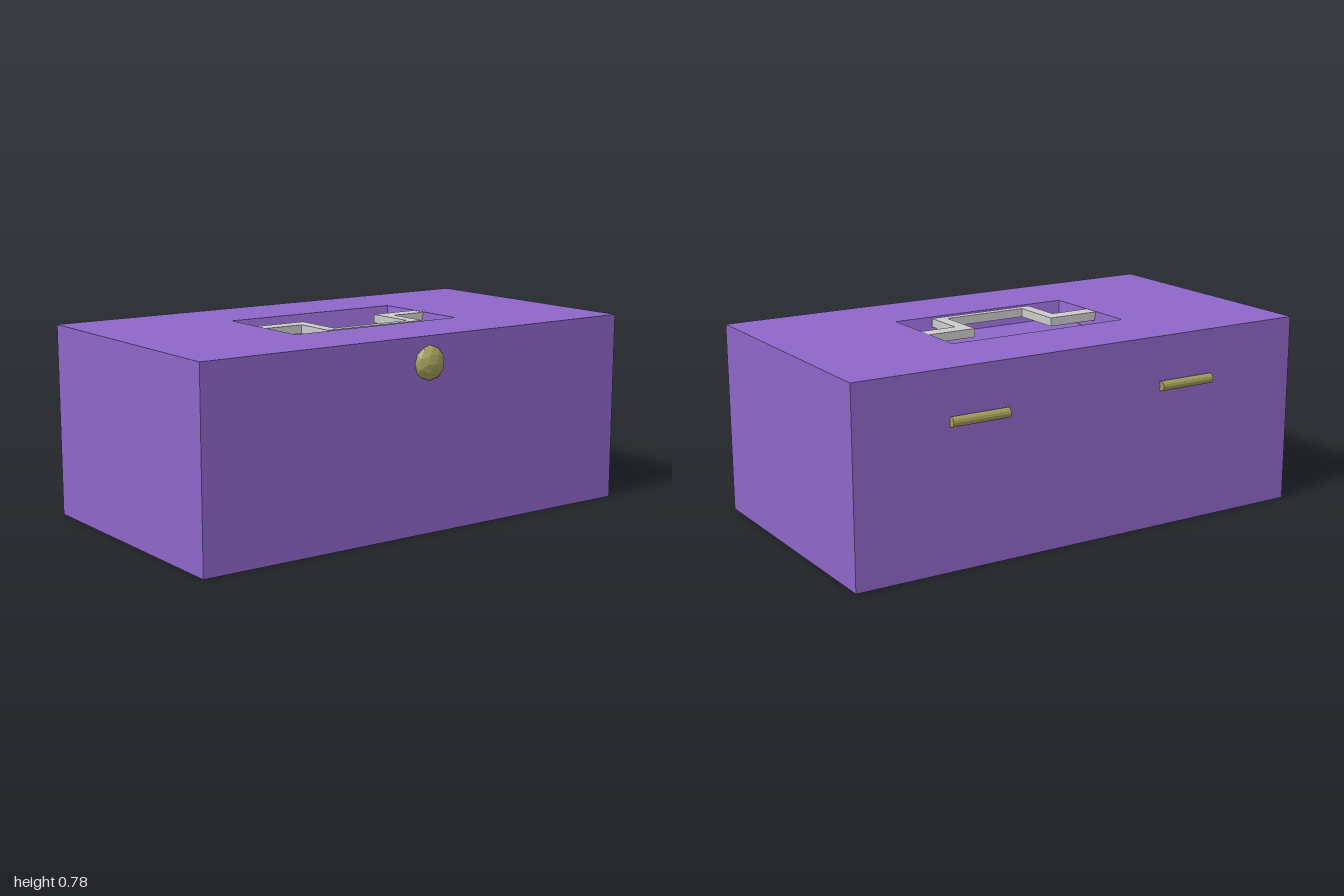
import * as THREE from 'three';

const mat = (color) => new THREE.MeshStandardMaterial({ color, flatShading: true });
const purple = mat(0x8e66c8);
const brass = mat(0xa39d5c);
const grey = mat(0xcccccc);

// Closed solid lofted through stacked rectangles [x0, x1, z0, z1, y]
function loftRects(rects) {
  const pos = [];
  const rings = rects.map(([x0, x1, z0, z1, y]) =>
    [[x0, y, z1], [x1, y, z1], [x1, y, z0], [x0, y, z0]]);
  const quad = (a, b, c, d) => [a, b, c, a, c, d].forEach((p) => pos.push(...p));
  for (let r = 0; r < rings.length - 1; r++) {
    const a = rings[r], b = rings[r + 1];
    for (let i = 0; i < 4; i++) {
      const j = (i + 1) % 4;
      quad(a[i], a[j], b[j], b[i]);
    }
  }
  quad(...[...rings[0]].reverse());
  quad(...rings[rings.length - 1]);
  const geo = new THREE.BufferGeometry();
  geo.setAttribute('position', new THREE.Float32BufferAttribute(pos, 3));
  geo.computeVertexNormals();
  return geo;
}

export function createModel() {
  const model = new THREE.Group();
  const add = (name, geo, material, x = 0, y = 0, z = 0) => {
    const mesh = new THREE.Mesh(geo, material);
    mesh.name = name;
    mesh.position.set(x, y, z);
    model.add(mesh);
    return mesh;
  };
  const top = 0.777;

  // Case: outer walls, top rim, then tapered pocket down to its floor
  add('case', loftRects([
    [-0.555, 0.537, -1, 1, 0],
    [-0.555, 0.537, -1, 1, top],
    [-0.235, 0.217, -0.405, 0.385, top],
    [-0.212, 0.197, -0.39, 0.372, top - 0.07],
  ]), purple);

  // Cranked carrying handle, flush with the top of the case
  const outline = [
    [-0.055, -0.405], [0.013, -0.405], [0.013, -0.25], [0.195, -0.25],
    [0.195, 0.215], [0.013, 0.215], [0.013, 0.385], [-0.055, 0.385],
    [-0.055, 0.162], [0.162, 0.162], [0.162, -0.197], [-0.055, -0.197],
  ].map(([x, z]) => new THREE.Vector2(x, -z));
  const handleGeo = new THREE.ExtrudeGeometry(new THREE.Shape(outline),
    { depth: 0.035, bevelEnabled: false });
  handleGeo.rotateX(-Math.PI / 2);
  add('handle', handleGeo, grey, 0, top - 0.036, 0);

  // Faceted, flattened latch knob on the opening side
  add('latchKnob', new THREE.IcosahedronGeometry(0.069, 1), brass, 0.537, 0.672, -0.013)
    .scale.x = 0.6;

  // Hinge barrels on the opposite side
  for (const [name, z] of [['backHinge', -0.483], ['frontHinge', 0.462]]) {
    const geo = new THREE.CylinderGeometry(0.02, 0.02, 0.245, 12);
    geo.rotateX(Math.PI / 2);
    add(name, geo, brass, -0.562, 0.578, z);
  }
  return model;
}
